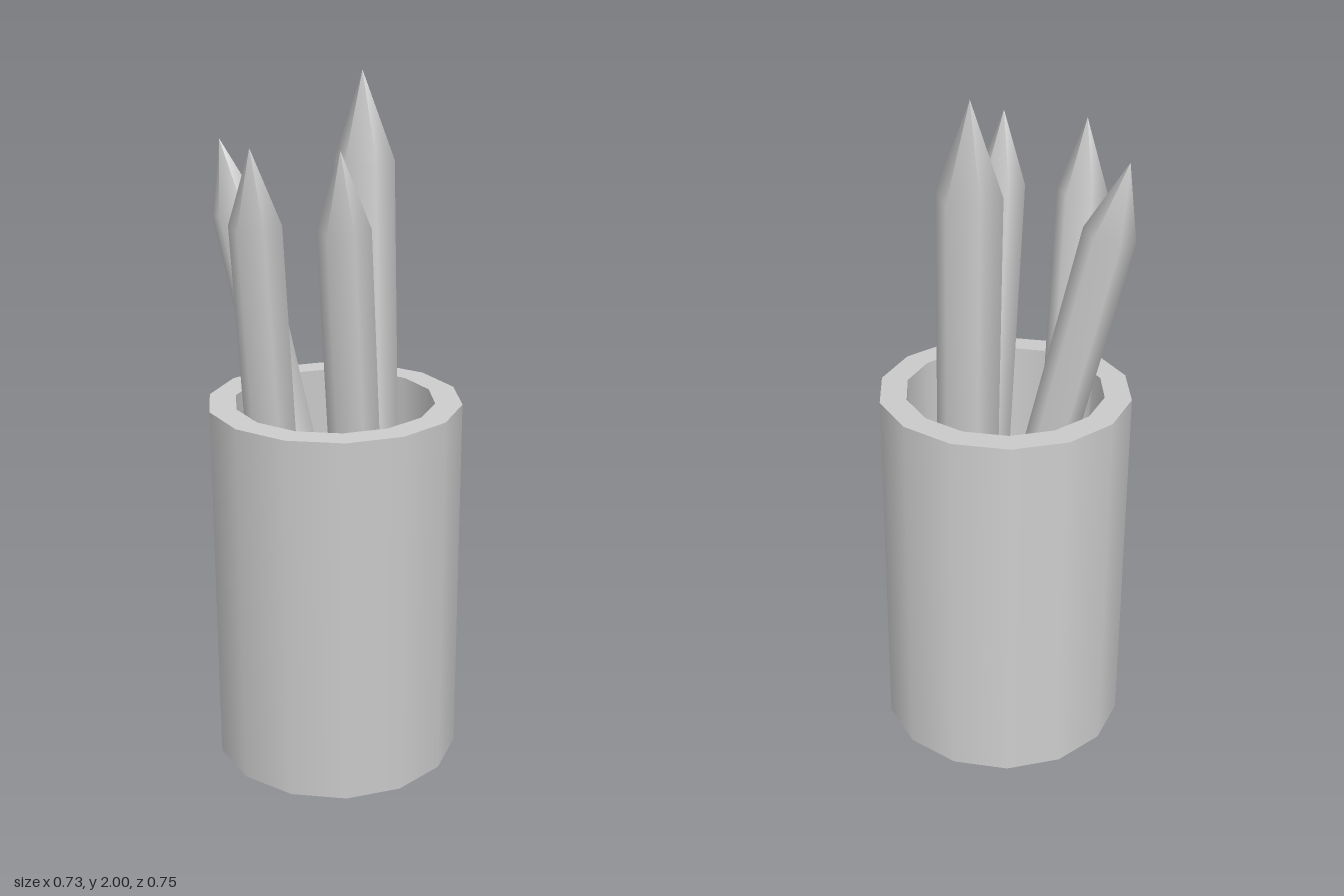
import * as THREE from 'three';

const material = new THREE.MeshStandardMaterial({ color: 0xcccccc });

// Lathe with a vertex on the x axis
function lathe(points, sides) {
  const profile = points.map(([r, y]) => new THREE.Vector2(r, y));
  return new THREE.LatheGeometry(profile, sides, Math.PI / 2);
}

// Each profile segment is its own lathe, so edges stay sharp and sides smooth
function creasedLathe(name, points, sides) {
  const group = new THREE.Group();
  group.name = name;
  for (let i = 0; i < points.length - 1; i++) {
    const mesh = new THREE.Mesh(lathe([points[i], points[i + 1]], sides), material);
    mesh.name = name + 'Surface';
    group.add(mesh);
  }
  return group;
}

// Hexagonal pencil running from the centre of its base to its tip
function pencil(name, base, tip, radius, point) {
  const from = new THREE.Vector3(...base);
  const axis = new THREE.Vector3(...tip).sub(from);
  const length = axis.length();
  const group = new THREE.Group();
  group.name = name;

  const body = new THREE.Mesh(lathe([[radius, 0], [radius, length - point], [0, length]], 6), material);
  body.name = 'pencilBody';
  const end = new THREE.Mesh(new THREE.CircleGeometry(radius, 6), material);
  end.name = 'pencilEnd';
  end.rotation.x = Math.PI / 2;
  group.add(body, end);

  group.position.copy(from);
  group.quaternion.setFromUnitVectors(new THREE.Vector3(0, 1, 0), axis.normalize());
  return group;
}

export function createModel() {
  const model = new THREE.Group();
  model.name = 'pencilCup';

  // Slightly tilted 14-sided cup: underside, wall, rim, inner wall, floor
  const R = 0.364, r = 0.287, H = 1.087, floor = 0.05;
  const cup = creasedLathe('cup', [[0, 0], [R, 0], [R, H], [r, H], [r, floor], [0, floor]], 14);
  cup.position.set(0, 0.0135, -0.02);
  cup.rotation.x = 0.037;
  model.add(cup);

  // Pencils leaning outwards
  model.add(
    pencil('tallPencil', [0.092, 0.55, -0.105], [0.048, 2, -0.19], 0.088, 0.25),
    pencil('rightPencil', [-0.044, 0.56, -0.018], [-0.336, 1.82, -0.055], 0.072, 0.205),
    pencil('frontRightPencil', [-0.15, 0.63, 0.093], [-0.183, 1.83, 0.268], 0.072, 0.205),
    pencil('frontLeftPencil', [0.087, 0.63, 0.113], [0.055, 1.83, 0.295], 0.072, 0.205),
  );
  return model;
}
